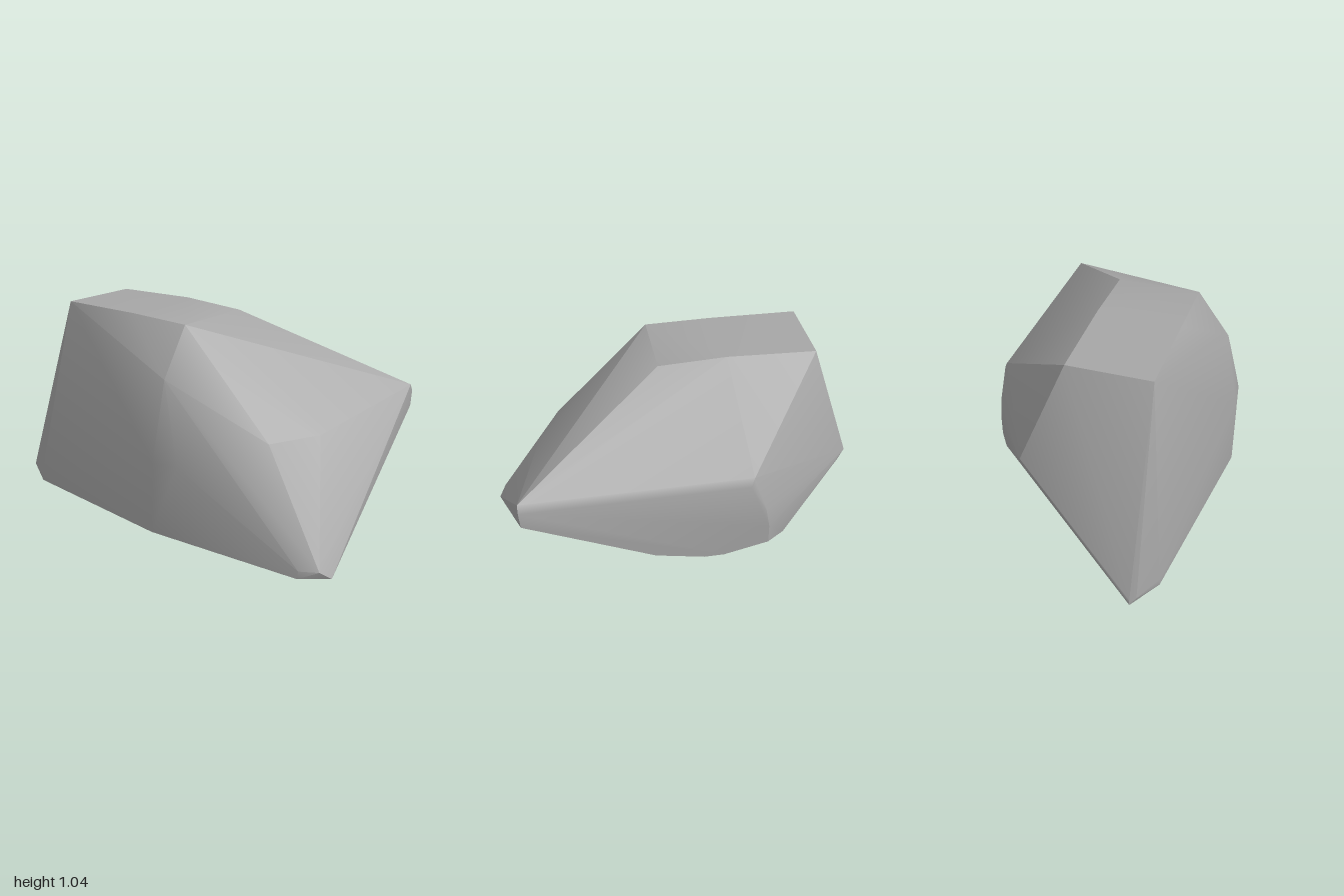
import * as THREE from 'three';
import { ConvexGeometry } from 'three/addons/geometries/ConvexGeometry.js';
import { toCreasedNormals } from 'three/addons/utils/BufferGeometryUtils.js';

// Corners of the boulder, grouped by the facet they bound
const crown = [
  [-0.34, 1.03, 0.14], [0.07, 1.03, 0.14],
  [-0.34, 1.035, -0.2], [0.07, 1.045, -0.2],
  [-0.34, 1.03, -0.65], [0.07, 1.03, -0.65],
];
const leftFacet = [
  [0.57, 0.63, 0.865], [0.57, 0.55, 0.86], [0.57, 0.27, 0.24],
  [0.57, 0.22, 0], [0.57, 0.22, -0.1], [0.57, 0.27, -0.32],
  [0.57, 0.37, -0.32], [0.57, 0.48, -0.3], [0.57, 0.63, -0.22],
];
const leftBevel = [[0.55, 0.668, 0.865], [0.55, 0.668, -0.24]];
const frontBulge = [[-0.33, 0.55, 0.63], [-0.08, 0.55, 0.745]];
const frontTip = [[-0.34, 0, 1], [-0.39, 0.04, 0.965], [-0.44, 0.04, 0.885], [-0.44, 0, 0.88]];
const backCorner = [[0.26, 0.55, -0.78], [0.51, 0.27, -0.41]];
const backTip = [[-0.34, 0, -1], [-0.34, 0.03, -1], [-0.37, 0.04, -0.985], [-0.44, 0.04, -0.845], [-0.44, 0, -0.84]];
const rightFlank = [[-0.5, 0.8, 0.15], [-0.57, 0.4, 0.13], [-0.555, 0.41, 0.27], [-0.575, 0.04, 0.12]];

export function createModel() {
  const group = new THREE.Group();
  group.name = 'rock';

  const stone = new THREE.MeshStandardMaterial({ color: 0xa6a6a6 });
  stone.name = 'stone grey';

  // One convex chunk of stone, soft over shallow edges and crisp at sharp ones
  const points = [crown, leftFacet, leftBevel, frontBulge, frontTip, backCorner, backTip, rightFlank]
    .flat()
    .map((p) => new THREE.Vector3(...p));
  const boulder = new THREE.Mesh(toCreasedNormals(new ConvexGeometry(points), 0.55), stone);
  boulder.name = 'boulder';
  group.add(boulder);

  return group;
}
